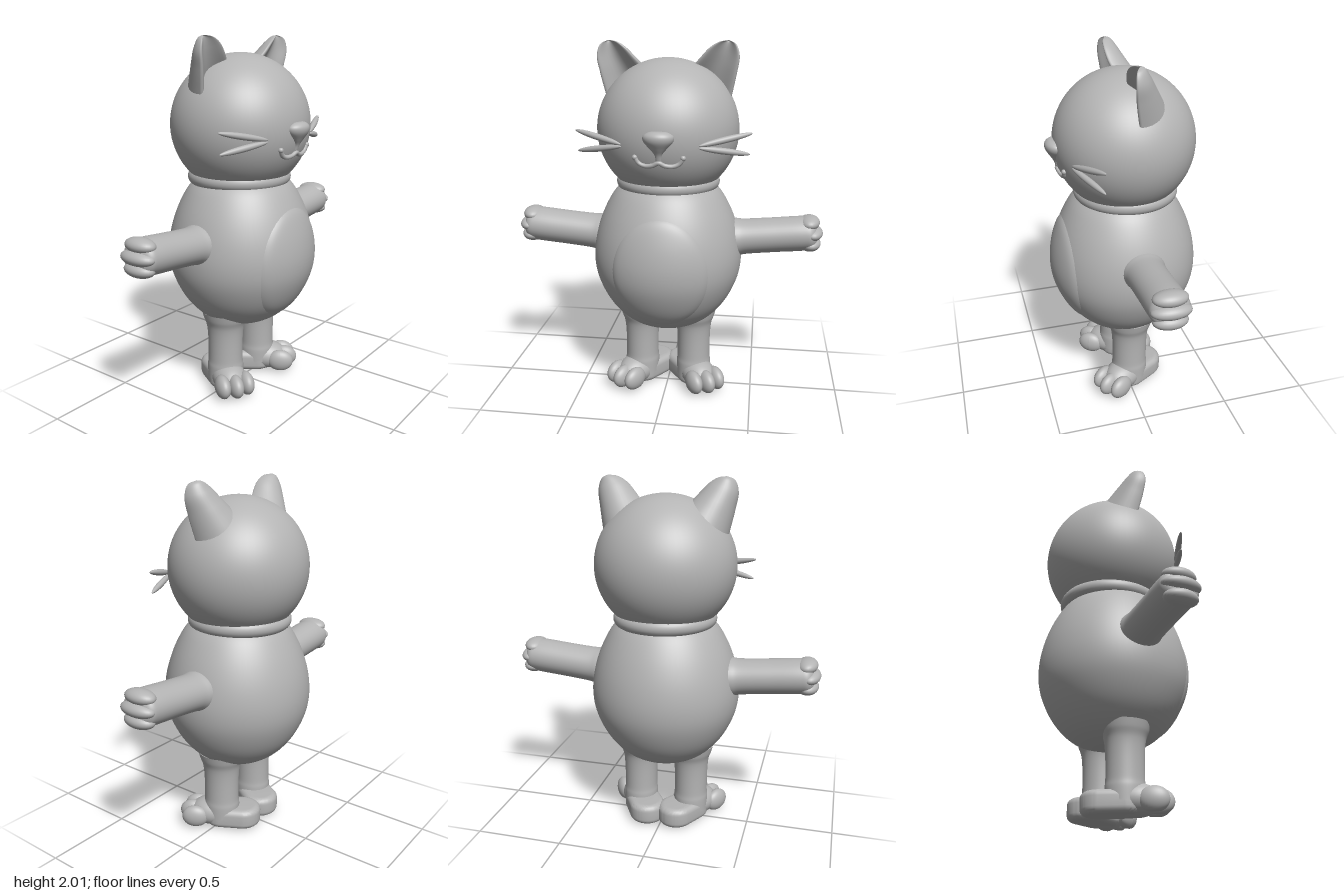
import * as THREE from 'three';
import { toCreasedNormals } from 'three/addons/utils/BufferGeometryUtils.js';

const grey = new THREE.MeshStandardMaterial({ color: 0xb4b4b4 });
grey.name = 'grey';

const HEAD = { y: 1.525, z: -0.012, r: 0.386 };
const headZ = (x, y) => HEAD.z + Math.sqrt(HEAD.r ** 2 - x * x - (y - HEAD.y) ** 2);
const v = (x, y, z = 0) => new THREE.Vector3(x, y, z);

function add(parent, name, geometry) {
  const mesh = new THREE.Mesh(geometry, grey);
  mesh.name = name;
  parent.add(mesh);
  return mesh;
}

// smooth lathe profile through [radius, height] points
const profile = (pts, n = 48) =>
  new THREE.SplineCurve(pts.map(p => new THREE.Vector2(...p))).getPoints(n)
    .map(p => new THREE.Vector2(Math.max(p.x, 0), p.y));

// surface from rings: fn(t, angle) -> Vector3, closed around the angle
function rings(nt, na, fn) {
  const pos = [], idx = [];
  for (let i = 0; i <= nt; i++)
    for (let j = 0; j < na; j++) pos.push(...fn(i / nt, (j / na) * Math.PI * 2).toArray());
  for (let i = 0; i < nt; i++)
    for (let j = 0; j < na; j++) {
      const a = i * na + j, b = i * na + (j + 1) % na;
      idx.push(a, a + na, b, b, a + na, b + na);
    }
  const g = new THREE.BufferGeometry();
  g.setAttribute('position', new THREE.Float32BufferAttribute(pos, 3));
  g.setIndex(idx);
  g.computeVertexNormals();
  return g;
}

function ellipsoid(rx, ry, rz) {
  return new THREE.SphereGeometry(1, 32, 20).scale(rx, ry, rz);
}

// egg-shaped body with a slightly raised belly patch
function makeBody(root) {
  const pts = profile([[0, 0.37], [0.12, 0.383], [0.24, 0.44], [0.335, 0.54], [0.4, 0.67], [0.422, 0.79],
    [0.41, 0.92], [0.37, 1.05], [0.31, 1.165], [0.25, 1.23], [0.2, 1.26]], 60);
  const radiusAt = y => {
    const i = Math.max(1, pts.findIndex(p => p.y >= y)), a = pts[i - 1], b = pts[i];
    return a.x + (b.x - a.x) * (y - a.y) / (b.y - a.y);
  };
  add(root, 'body', new THREE.LatheGeometry(pts, 72).scale(1, 1, 0.98).translate(0, 0, -0.005));
  add(root, 'bellyPatch', rings(28, 72, (t, a) => {
    const x = 0.268 * t * Math.cos(a), y = 0.78 + 0.322 * t * Math.sin(a);
    const z = 0.98 * Math.sqrt(radiusAt(y) ** 2 - x * x) - 0.005;
    return v(x, y, z + 0.01 - 0.02 * t ** 18);
  }));
}

// curved cupped ear, +x side
function makeEar(side) {
  const outer = new THREE.CatmullRomCurve3([v(0.345, 1.7, -0.01), v(0.372, 1.83, 0.015), v(0.385, 1.92, 0.025),
    v(0.365, 1.98, 0.02), v(0.325, 2.0, 0)]);
  const inner = new THREE.CatmullRomCurve3([v(0.12, 1.85, -0.01), v(0.175, 1.91, 0.015), v(0.225, 1.962, 0.025),
    v(0.275, 1.992, 0.02), v(0.325, 2.0, 0)]);
  add(side, 'ear', rings(24, 36, (t, a) => {
    const s = Math.sin(a), size = Math.sqrt(1 - t);
    const p = inner.getPoint(t).lerp(outer.getPoint(t), (1 + Math.cos(a)) / 2);
    p.z += s < 0 ? 0.15 * s * (1 - t) ** 0.8 : size * (0.05 * s - 0.095 * s ** 3);
    return p;
  }));
}

// two tapered whiskers, +x side
function makeWhiskers(side) {
  const ends = [[v(0.2, 1.484, 0.315), v(0.468, 1.54, 0.205)], [v(0.2, 1.474, 0.315), v(0.458, 1.43, 0.205)]];
  for (const [a, b] of ends) {
    const w = add(side, 'whisker', ellipsoid(0.017, a.distanceTo(b) / 2, 0.017));
    w.position.copy(a).add(b).multiplyScalar(0.5);
    w.quaternion.setFromUnitVectors(v(0, 1, 0), b.clone().sub(a).normalize());
  }
}

// arm with a three-fingered paw, +x side
function makeArm(side) {
  const arm = new THREE.Group();
  arm.name = 'arm';
  arm.position.set(0.3, 0.905, -0.018);
  arm.rotation.z = 0.095;
  side.add(arm);
  const pts = profile([[0.125, 0], [0.108, 0.09], [0.1, 0.15], [0.098, 0.3], [0.098, 0.46], [0.09, 0.515],
    [0.055, 0.54], [0, 0.545]]);
  add(arm, 'armTube', new THREE.LatheGeometry(pts, 40).rotateZ(-Math.PI / 2).scale(1, 1, 1.1));
  for (const k of [-1, 0, 1]) {
    const f = add(arm, 'finger', ellipsoid(0.06, 0.041, k ? 0.092 : 0.106));
    f.position.set(k ? 0.503 : 0.517, k * 0.061, 0);
  }
}

// leg with an outward-turned foot and three toes, +x side
function makeLeg(side) {
  const leg = new THREE.Group();
  leg.name = 'leg';
  leg.position.set(0.155, 0, -0.005);
  side.add(leg);
  const pts = profile([[0.1, 0.06], [0.1, 0.13], [0.096, 0.18], [0.097, 0.3], [0.104, 0.38], [0.12, 0.43], [0.13, 0.47]]);
  add(leg, 'legTube', new THREE.LatheGeometry(pts, 40).scale(1, 1, 1.06));

  const foot = new THREE.Group();
  foot.name = 'foot';
  foot.rotation.y = 0.56;
  leg.add(foot);
  const bevel = 0.035, r = 0.1 - bevel, len = 0.125;
  const shape = new THREE.Shape();
  shape.absarc(0, 0, r, 0, Math.PI, false);
  shape.absarc(0, -len, r + 0.005, Math.PI, Math.PI * 2, false);
  const sole = new THREE.ExtrudeGeometry(shape, { depth: 0.12 - 2 * bevel, bevelSize: bevel,
    bevelThickness: bevel, bevelSegments: 6, curveSegments: 20 });
  add(foot, 'sole', toCreasedNormals(sole.rotateX(-Math.PI / 2).scale(1, 1, -1).scale(-1, 1, 1)
    .translate(0, bevel, 0), 0.8));
  // soft instep between ankle and toes
  add(foot, 'instep', ellipsoid(0.096, 0.085, 0.13)).position.set(0, 0.075, 0.055);
  for (const k of [-1, 0, 1]) {
    const g = ellipsoid(0.043, 0.066, 0.078), p = g.attributes.position;
    for (let i = 0; i < p.count; i++) p.setY(i, Math.max(p.getY(i), -0.058));
    g.computeVertexNormals();
    add(foot, 'toe', g).position.set(k * 0.071, 0.066, k ? 0.15 : 0.17);
  }
}

// nose with tapering bridge, and a curved mouth, both following the head
function makeMuzzle(root) {
  const pts = profile([[0, 1.395], [0.013, 1.4], [0.018, 1.44], [0.042, 1.472], [0.076, 1.51], [0.078, 1.54],
    [0.045, 1.56], [0, 1.563]], 36);
  const nose = new THREE.LatheGeometry(pts, 40).rotateY(Math.PI), p = nose.attributes.position;
  for (let i = 0; i < p.count; i++) p.setZ(i, p.getZ(i) * 0.58 + headZ(p.getX(i), p.getY(i)) - 0.002);
  nose.computeVertexNormals();
  add(root, 'nose', nose);

  const line = [[-0.125, 1.425], [-0.105, 1.395], [-0.07, 1.381], [-0.03, 1.386], [0, 1.4],
    [0.03, 1.386], [0.07, 1.381], [0.105, 1.395], [0.125, 1.425]].map(([x, y]) => v(x, y, headZ(x, y) + 0.004));
  add(root, 'mouth', new THREE.TubeGeometry(new THREE.CatmullRomCurve3(line), 64, 0.012, 12));
  for (const end of [line[0], line[8]]) add(root, 'mouthCorner', ellipsoid(0.014, 0.014, 0.014)).position.copy(end);
}

export function createModel() {
  const root = new THREE.Group();
  root.name = 'cat';

  makeBody(root);
  add(root, 'head', new THREE.SphereGeometry(HEAD.r, 64, 48).scale(1.018, 1, 1)).position.set(0, HEAD.y, HEAD.z);
  const collar = add(root, 'collar', new THREE.TorusGeometry(0.246, 0.045, 24, 72).rotateX(Math.PI / 2));
  collar.position.set(0, 1.235, -0.02);
  makeMuzzle(root);

  // paired parts, mirrored across x
  for (const [name, s] of [['leftSide', 1], ['rightSide', -1]]) {
    const side = new THREE.Group();
    side.name = name;
    side.scale.x = s;
    root.add(side);
    makeEar(side);
    makeWhiskers(side);
    makeArm(side);
    makeLeg(side);
  }
  return root;
}
